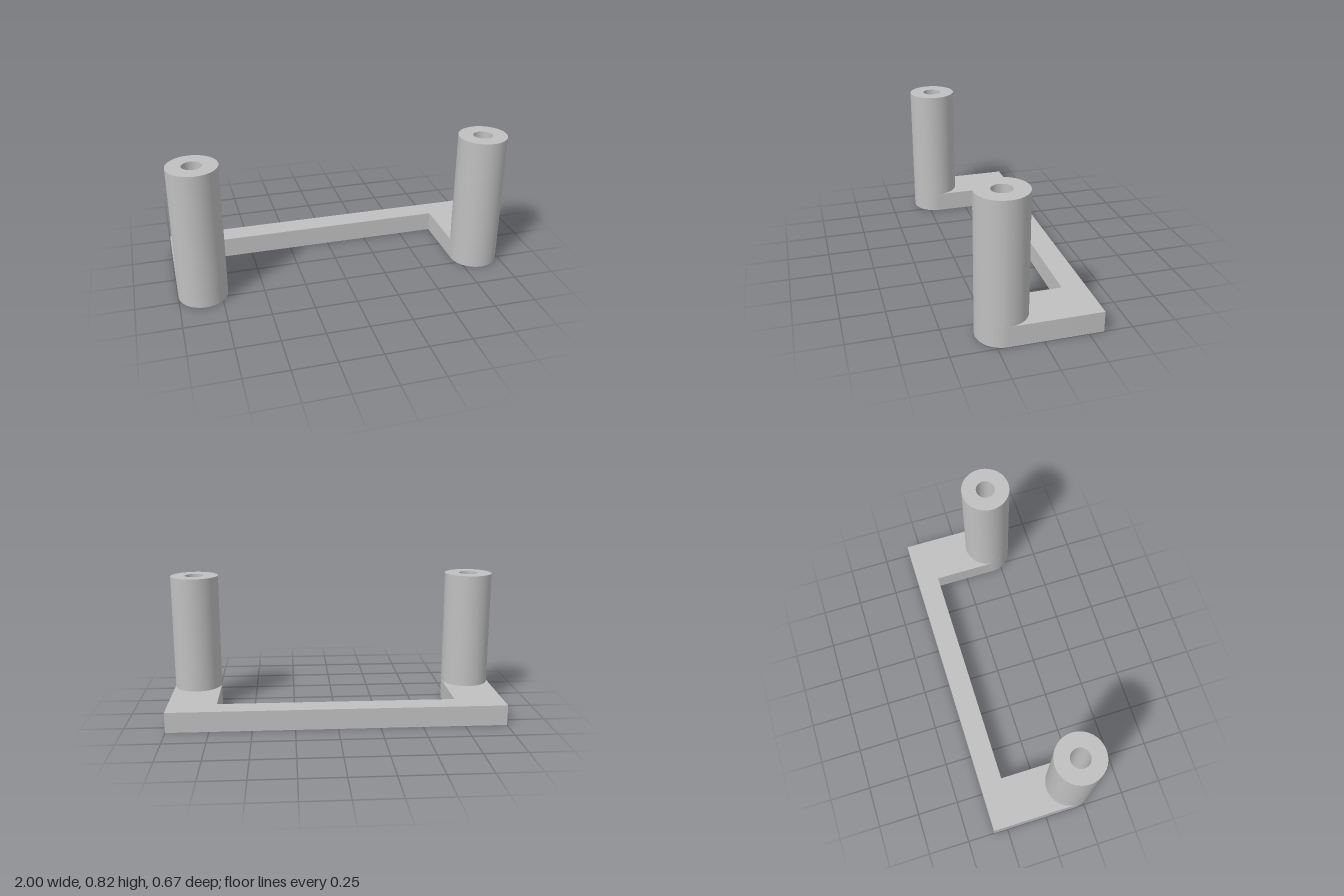
import * as THREE from 'three';
import { toCreasedNormals } from 'three/addons/utils/BufferGeometryUtils.js';

const BASE_H = 0.122, POST_H = 0.825;
const POST_R = 0.145, HOLE_R = 0.057;
const POST_X = 0.855, POST_Z = 0.19;
const BACK_Z = -0.335, BAR_FRONT_Z = -0.2;

// U-shaped plate with rounded arm ends (shape y is -z)
function baseGeometry() {
  const inner = POST_X - POST_R;
  const s = new THREE.Shape();
  s.moveTo(-1, -BACK_Z);
  s.lineTo(-1, -POST_Z);
  s.absarc(-POST_X, -POST_Z, POST_R, Math.PI, Math.PI * 2, false);
  s.lineTo(-inner, -BAR_FRONT_Z);
  s.lineTo(inner, -BAR_FRONT_Z);
  s.lineTo(inner, -POST_Z);
  s.absarc(POST_X, -POST_Z, POST_R, Math.PI, Math.PI * 2, false);
  s.lineTo(1, -BACK_Z);
  s.closePath();
  const g = new THREE.ExtrudeGeometry(s, { depth: BASE_H, bevelEnabled: false, curveSegments: 32 });
  g.rotateX(-Math.PI / 2);
  return toCreasedNormals(g, 0.6);
}

// Hollow post: outer wall, top rim, bore wall; the base closes the bore
function postGeometry() {
  const profile = [
    [POST_R, BASE_H], [POST_R, POST_H], [HOLE_R, POST_H], [HOLE_R, BASE_H],
  ].map(([r, y]) => new THREE.Vector2(r, y));
  return toCreasedNormals(new THREE.LatheGeometry(profile, 64), 0.6);
}

export function createModel() {
  const model = new THREE.Group();
  model.name = 'bracket';
  const grey = new THREE.MeshStandardMaterial({ color: 0xc0c0c0 });
  grey.name = 'grey';

  const base = new THREE.Mesh(baseGeometry(), grey);
  base.name = 'base';
  model.add(base);

  const postGeo = postGeometry();
  for (const side of [1, -1]) {
    const post = new THREE.Mesh(postGeo, grey);
    post.name = side > 0 ? 'leftPost' : 'rightPost';
    post.position.set(side * POST_X, 0, POST_Z);
    model.add(post);
  }
  return model;
}
